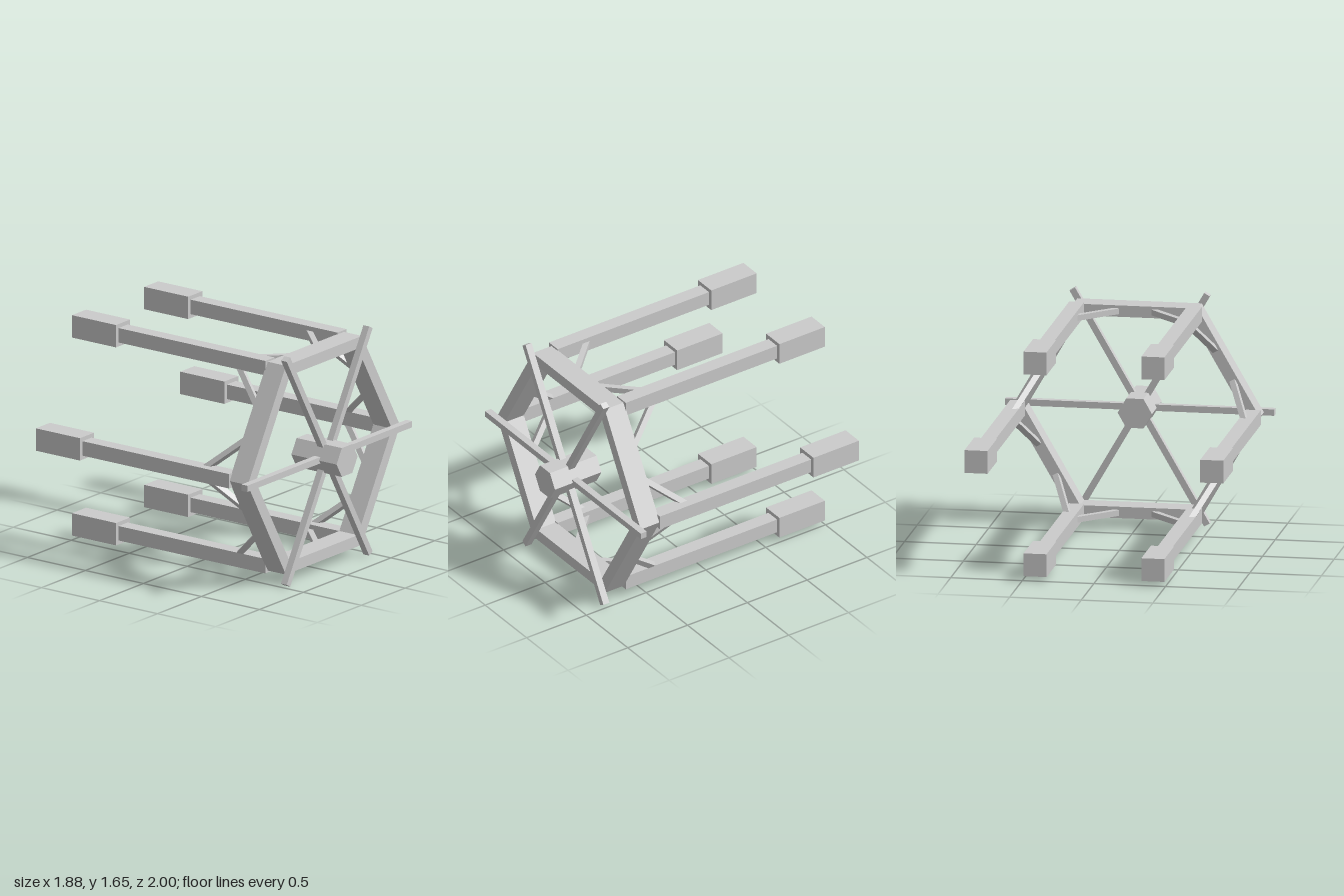
import * as THREE from 'three';

const CENTER_Y = 0.83;   // height of the wheel axis
const RAIL_R = 0.823;    // distance of each rail from the axis

export function createModel() {
  const model = new THREE.Group();
  const wheel = new THREE.Group();
  wheel.name = 'frame';
  wheel.position.y = CENTER_Y;
  model.add(wheel);

  const mat = new THREE.MeshStandardMaterial({ color: 0xcccccc, flatShading: true });

  const add = (name, geometry, parent = wheel) => {
    const mesh = new THREE.Mesh(geometry, mat);
    mesh.name = name;
    parent.add(mesh);
    return mesh;
  };

  const hexPoints = (r) => Array.from({ length: 6 }, (_, i) =>
    new THREE.Vector2(r * Math.cos(i * Math.PI / 3), r * Math.sin(i * Math.PI / 3)));

  // Hexagonal prism between two z positions, optionally hollow
  const hexPrism = (r, z0, z1, holeR) => {
    const shape = new THREE.Shape(hexPoints(r));
    if (holeR) shape.holes.push(new THREE.Path(hexPoints(holeR)));
    return new THREE.ExtrudeGeometry(shape, { depth: z1 - z0, bevelEnabled: false }).translate(0, 0, z0);
  };

  // Square bar running along z
  const barZ = (size, z0, z1) =>
    new THREE.BoxGeometry(size, size, z1 - z0).translate(0, 0, (z0 + z1) / 2);

  // Outer ring and central hub
  add('ring', hexPrism(0.868, 0.64, 0.8, 0.775));
  add('hub', hexPrism(0.12, 0.61, 1));

  // Three bars crossing at the hub form six spokes
  for (let i = 0; i < 3; i++) {
    const spoke = add('spokeBar', new THREE.BoxGeometry(1.88, 0.045, 0.05));
    spoke.position.z = 0.825;
    spoke.rotation.z = i * Math.PI / 3;
  }

  // Upright square rails with thicker end blocks at each ring corner
  for (const p of hexPoints(RAIL_R)) {
    add('rail', barZ(0.104, -0.63, 0.645)).position.set(p.x, p.y, 0);
    add('railEndBlock', barZ(0.161, -1, -0.62)).position.set(p.x, p.y, 0);
  }

  // A mirrored pair of diagonal braces behind each side of the ring
  const apothem = RAIL_R * Math.cos(Math.PI / 6);
  for (let i = 0; i < 6; i++) {
    const side = new THREE.Group();
    side.name = 'bracePair';
    side.rotation.z = i * Math.PI / 3;
    wheel.add(side);
    for (const s of [-1, 1]) {
      const start = new THREE.Vector3(s * (RAIL_R / 2 - 0.035), apothem, 0.39);
      const end = new THREE.Vector3(s * (RAIL_R / 2 - 0.283), apothem, 0.642);
      const brace = add('brace', new THREE.BoxGeometry(0.04, 0.04, start.distanceTo(end)), side);
      brace.position.lerpVectors(start, end, 0.5);
      brace.rotation.y = Math.atan2(end.x - start.x, end.z - start.z);
    }
  }
  return model;
}
